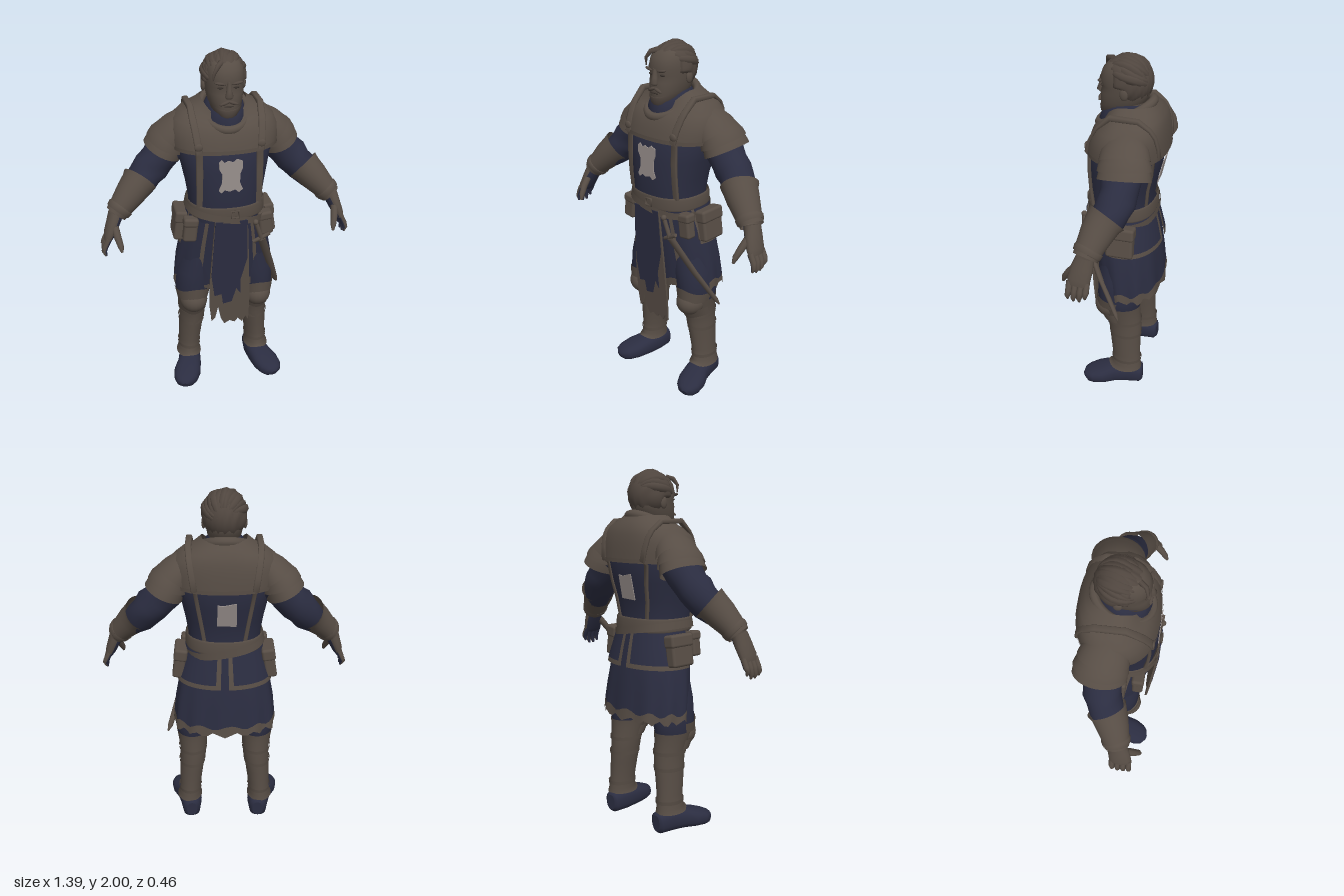
import * as THREE from 'three';
import { mergeVertices } from 'three/addons/utils/BufferGeometryUtils.js';
import { RoundedBoxGeometry } from 'three/addons/geometries/RoundedBoxGeometry.js';

const V = (x, y, z) => new THREE.Vector3(x, y, z);
const material = (name, color) => Object.assign(new THREE.MeshStandardMaterial({ color, side: THREE.DoubleSide }), { name });

// Horizontal ring from its height, half width, back z and front z
const R = (y, rx, back, front, x = 0) => [x, y, (back + front) / 2, rx, (front - back) / 2];
const SQ = 0.85; // squareness of the body rings

// Skin over rings [x, y, z, radius u, radius v]; pick chooses a material per face
function loft(rings, { n = 24, p = 1, flat = false, ref = V(0, 0, 1), arc = null, mod = null, pick = null, caps = true } = {}) {
  const pos = [], faces = [[], []], c = rings.map(r => V(r[0], r[1], r[2]));
  const cols = arc ? n + 1 : n, [a0, a1] = arc || [0, Math.PI * 2];
  const pw = k => Math.sign(k) * Math.abs(k) ** p;
  rings.forEach((r, i) => {
    const t = flat ? V(0, 1, 0) : c[Math.min(i + 1, c.length - 1)].clone().sub(c[Math.max(i - 1, 0)]).normalize();
    const v = ref.clone().addScaledVector(t, -ref.dot(t)).normalize(), u = t.clone().cross(v);
    for (let j = 0; j < cols; j++) {
      const th = a0 + (a1 - a0) * j / n, [k, dy] = mod ? mod(i, th) : [1, 0];
      const q = c[i].clone().addScaledVector(u, r[3] * k * pw(Math.cos(th))).addScaledVector(v, r[4] * k * pw(Math.sin(th)));
      pos.push(q.x, q.y + dy, q.z);
    }
  });
  for (let i = 0; i < rings.length - 1; i++) for (let j = 0; j < n; j++) {
    const a = i * cols + j, d = i * cols + (j + 1) % cols;
    const m = pick && pick(i, j, a0 + (a1 - a0) * (j + 0.5) / n) ? 1 : 0;
    faces[m].push(a, a + cols, d, d, a + cols, d + cols);
  }
  if (caps && !arc) for (const end of [0, rings.length - 1]) {
    const start = pos.length / 3;
    pos.push(...c[end].toArray(), ...pos.slice(end * cols * 3, (end + 1) * cols * 3));
    for (let j = 0; j < n; j++) {
      const a = start + 1 + j, b = start + 1 + (j + 1) % n;
      faces[0].push(start, ...(end ? [b, a] : [a, b]));
    }
  }
  const g = new THREE.BufferGeometry();
  g.setAttribute('position', new THREE.Float32BufferAttribute(pos, 3));
  g.setIndex([...faces[0], ...faces[1]]);
  if (pick) {
    g.addGroup(0, faces[0].length, 0);
    g.addGroup(faces[0].length, faces[1].length, 1);
  }
  g.computeVertexNormals();
  return g;
}

const TORSO = [R(1.1, 0.2, -0.15, 0.19), R(1.2, 0.2, -0.145, 0.2), R(1.3, 0.215, -0.16, 0.203), R(1.4, 0.235, -0.185, 0.2),
  R(1.5, 0.255, -0.2, 0.19), R(1.6, 0.24, -0.19, 0.15)];
const MANTLE = [R(1.515, 0.29, -0.225, 0.2), R(1.56, 0.295, -0.222, 0.19), R(1.61, 0.29, -0.217, 0.172), R(1.655, 0.268, -0.208, 0.15),
  R(1.695, 0.222, -0.195, 0.13), R(1.725, 0.16, -0.17, 0.115), R(1.755, 0.12, -0.145, 0.11)];

// Depth of the clothed body at x, y on the front (s = 1) or the back (s = -1)
function surf(x, y, s) {
  const rings = y >= 1.515 ? MANTLE : TORSO;
  let i = 0;
  while (i < rings.length - 2 && rings[i + 1][1] < y) i++;
  const k = (y - rings[i][1]) / (rings[i + 1][1] - rings[i][1]);
  const [, , z, rx, rz] = rings[i].map((v, q) => v + (rings[i + 1][q] - v) * k);
  return z + s * rz * Math.max(0, 1 - Math.abs(x / rx) ** (2 / SQ)) ** (SQ / 2);
}

export function createModel() {
  const model = new THREE.Group();
  const brown = material('brown leather', 0x574d45), navy = material('navy cloth', 0x2b2d41);
  const dark = material('dark leather', 0x3a332e), skin = material('skin', 0x564c44);
  const hairMat = material('hair', 0x50463f), grey = material('pale patch', 0x988f8c);
  const add = (name, geo, mat) => {
    const m = new THREE.Mesh(geo, mat);
    m.name = name;
    model.add(m);
    return m;
  };
  const ball = (name, mat, [x, y, z], [a, b, c]) => {
    const m = add(name, new THREE.SphereGeometry(1, 20, 14), mat);
    m.position.set(x, y, z);
    m.scale.set(a, b, c);
    return m;
  };
  const block = (name, size, [x, y, z], tilt) => {
    const g = new RoundedBoxGeometry(...size, 3, 0.015);
    g.clearGroups();
    const m = add(name, g, brown);
    m.position.set(x, y, z);
    m.rotation.z = tilt;
  };
  const plate = (name, pts, mat, depth = 0.005) => add(name,
    new THREE.ExtrudeGeometry(new THREE.Shape(pts.map(q => new THREE.Vector2(...q))), { depth, bevelEnabled: false }), [mat, mat]);

  // Tunic, shoulder mantle dipping at the throat, scarf and collar
  add('tunic', loft(TORSO, { n: 40, p: SQ, flat: true }), navy);
  add('mantle', loft(MANTLE, { n: 40, p: SQ, flat: true, caps: false,
    mod: (i, th) => [1, -[0, 0, 0, 0.015, 0.04, 0.065, 0.085][i] * Math.max(0, Math.sin(th)) ** 2] }), brown);
  add('mantleHem', loft([R(1.507, 0.29, -0.228, 0.204), R(1.528, 0.292, -0.228, 0.203)], { n: 40, p: SQ, flat: true, caps: false }), brown);
  add('scarf', loft([R(1.58, 0.12, -0.12, 0.15), R(1.65, 0.118, -0.12, 0.15), R(1.7, 0.11, -0.12, 0.135), R(1.735, 0.098, -0.11, 0.11), R(1.755, 0.08, -0.1, 0.08)],
    { flat: true, mod: (i, th) => [1 + 0.025 * Math.sin(5 * th + i * 2), 0] }), navy);
  const collar = add('collar', new THREE.TorusGeometry(0.122, 0.018, 10, 36), brown);
  collar.rotation.x = Math.PI / 2 + 0.45;
  collar.position.set(0, 1.69, 0.01);
  collar.scale.set(1, 1.3, 1.4);

  // Chest patch and back patch
  plate('chestPatch', [[-0.065, 1.47], [-0.05, 1.482], [-0.035, 1.465], [-0.015, 1.475], [0.01, 1.465], [0.03, 1.482], [0.06, 1.47], [0.06, 1.43],
    [0.048, 1.4], [0.046, 1.35], [0.062, 1.31], [0.04, 1.293], [0.02, 1.31], [-0.01, 1.3], [-0.035, 1.31], [-0.055, 1.293],
    [-0.067, 1.31], [-0.05, 1.35], [-0.048, 1.4], [-0.064, 1.43]], grey).position.z = 0.2;
  const back = plate('backPatch', [[-0.052, -0.072], [0.052, -0.068], [0.048, 0.065], [0.02, 0.06], [-0.052, 0.075]], grey);
  back.position.set(-0.01, 1.375, -0.189);
  back.rotation.x = -0.22;

  // Skirt with a ragged brown hem, and short jacket tails
  add('skirt', loft([R(0.645, 0.288, -0.217, 0.13), R(0.69, 0.286, -0.212, 0.137), R(0.8, 0.277, -0.203, 0.152), R(0.95, 0.25, -0.187, 0.172),
    R(1.14, 0.203, -0.153, 0.19)], { n: 60, p: 0.9, flat: true, caps: false,
    mod: (i, th) => [1 + 0.008 * (4 - i) * Math.sin(11 * th), i < 2 ? 0.014 * Math.sin((17 - 6 * i) * th + i) : 0],
    pick: (i, j) => i === 0 || j === 9 || j === 20 }), [navy, brown]);
  for (const arc of [[0.9, 1.48], [1.52, 2.1]]) add('jacketTail',
    loft([R(0.935, 0.268, -0.207, 0.18), R(0.96, 0.264, -0.203, 0.182), R(1.05, 0.238, -0.184, 0.19), R(1.14, 0.212, -0.162, 0.2)],
      { n: 20, p: 0.9, flat: true, arc: arc.map(k => k * Math.PI), pick: (i, j) => i === 0 || j === 0 || j === 19 }), [navy, brown]);

  // Hanging front panel with torn end
  const panels = [
    plate('panelBorder', [[-0.09, 1.13], [0.09, 1.13], [0.105, 0.85], [0.115, 0.6], [0.112, 0.44], [0.095, 0.47], [0.075, 0.43], [0.05, 0.46],
      [0.03, 0.435], [0, 0.45], [-0.03, 0.43], [-0.05, 0.47], [-0.068, 0.56], [-0.085, 0.48], [-0.105, 0.46], [-0.115, 0.55], [-0.118, 0.72]], brown, 0.012),
    plate('panelCloth', [[-0.088, 1.13], [0.088, 1.13], [0.094, 0.88], [0.058, 0.74], [0.062, 0.64], [0.035, 0.68], [0.01, 0.59], [-0.04, 0.58],
      [-0.05, 0.65], [-0.09, 0.64], [-0.108, 0.78]], navy)];
  panels.forEach((m, i) => {
    m.position.z = 0.13 + i * 0.01;
    m.rotation.x = 0.064;
  });

  // Belts and buckle
  add('belt', loft([R(1.13, 0.212, -0.165, 0.207), R(1.14, 0.217, -0.168, 0.211), R(1.195, 0.215, -0.164, 0.213), R(1.205, 0.208, -0.158, 0.208)],
    { n: 40, p: SQ, flat: true, caps: false }), brown);
  const sling = add('swordBelt', loft([R(-0.02, 0.224, -0.175, 0.219), R(0.02, 0.222, -0.173, 0.219)], { n: 40, p: SQ, flat: true, caps: false }), brown);
  sling.position.y = 1.135;
  sling.rotation.z = -0.16;
  const buckle = add('buckle', new THREE.TorusGeometry(0.028, 0.007, 8, 4), brown);
  buckle.position.set(0.02, 1.168, 0.217);
  buckle.rotation.z = Math.PI / 4;

  // Sword at the left hip
  add('scabbard', loft([[0.17, 1.0, 0.205, 0.022, 0.016], [0.25, 0.78, 0.1, 0.021, 0.014], [0.32, 0.585, -0.01, 0.015, 0.012], [0.333, 0.555, -0.025, 0.004, 0.004]], { n: 12 }), brown);
  add('swordGuard', loft([[0.125, 0.98, 0.2, 0.01, 0.01], [0.17, 1.005, 0.207, 0.012, 0.012], [0.215, 1.03, 0.21, 0.01, 0.01]], { n: 10 }), brown);
  add('swordGrip', loft([[0.17, 1.0, 0.207, 0.012, 0.012], [0.135, 1.1, 0.215, 0.012, 0.012]], { n: 10 }), brown);
  ball('pommel', brown, [0.133, 1.108, 0.215], [0.016, 0.016, 0.016]);

  // Head: neck, skull, face
  add('neck', loft([R(1.62, 0.08, -0.1, 0.07), R(1.78, 0.078, -0.1, 0.06)], { flat: true }), skin);
  add('head', loft([R(1.675, 0.032, 0.055, 0.122), R(1.69, 0.052, 0, 0.138), R(1.72, 0.076, -0.06, 0.143), R(1.76, 0.09, -0.1, 0.142), R(1.8, 0.098, -0.115, 0.14),
    R(1.835, 0.1, -0.12, 0.13), R(1.87, 0.102, -0.12, 0.144), R(1.92, 0.098, -0.11, 0.127), R(1.95, 0.08, -0.08, 0.1), R(1.975, 0.04, -0.04, 0.05)],
    { n: 32, p: 0.9, flat: true }), skin);
  add('nose', loft([[0, 1.785, 0.14, 0.016, 0.012], [0, 1.797, 0.146, 0.022, 0.02], [0, 1.825, 0.138, 0.014, 0.018], [0, 1.87, 0.138, 0.01, 0.01]], { n: 12, flat: true }), skin);
  add('beard', loft([R(1.668, 0.034, 0.05, 0.128), R(1.69, 0.058, 0, 0.145), R(1.72, 0.08, -0.05, 0.147), R(1.742, 0.086, -0.06, 0.143)],
    { n: 32, p: 0.9, flat: true, caps: false, mod: (i, th) => [1 + 0.012 * Math.sin(16 * th), i === 3 ? -0.02 * Math.max(0, Math.sin(th)) ** 4 : 0] }), hairMat);
  ball('mouth', dark, [0, 1.744, 0.141], [0.026, 0.004, 0.005]);
  for (const s of [1, -1]) {
    ball('eye', dark, [s * 0.04, 1.838, 0.124], [0.017, 0.006, 0.008]);
    ball('brow', hairMat, [s * 0.043, 1.862, 0.133], [0.03, 0.008, 0.012]).rotation.z = s * 0.18;
    ball('moustache', hairMat, [s * 0.022, 1.762, 0.141], [0.028, 0.009, 0.01]).rotation.z = -s * 0.35;
    ball('ear', skin, [s * 0.107, 1.82, -0.005], [0.012, 0.032, 0.022]);
  }

  // Hair: a cap drawn in around the face, with thick tufts swept back over it
  const step = THREE.MathUtils.smoothstep, hair = new THREE.SphereGeometry(1, 56, 36), hp = hair.attributes.position;
  for (let i = 0; i < hp.count; i++) {
    const x = hp.getX(i), y = hp.getY(i), z = hp.getZ(i);
    const face = step(z, 0.35, 0.6) * (1 - step(y, 0.35, 0.6)), side = step(z, -0.15, 0.2) * (1 - step(y, -0.3, -0.05));
    const k = 0.98 - 0.3 * Math.max(face, side) + 0.02 * Math.sin(20 * x + 9 * z + 6 * y);
    hp.setXYZ(i, x * k * 0.12, 1.862 + y * k * 0.13, z * k * 0.134);
  }
  hair.deleteAttribute('uv');
  hair.deleteAttribute('normal');
  const hairGeo = mergeVertices(hair, 1e-5);
  hairGeo.computeVertexNormals();
  add('hair', hairGeo, hairMat);
  for (let k = -5; k <= 5; k++) {
    const strand = [], wave = k * 2.4;
    for (let i = 0; i <= 9; i++) {
      const f = 0.8 + i * 0.25, a = k * 0.24 + (i - 4) * 0.09 + 0.05 * Math.sin(i * 0.9 + wave);
      const r = 0.028 * Math.sin(0.35 + i * 0.29), d = 1 + 0.025 * Math.sin(wave + i * 0.5);
      strand.push([0.1 * d * Math.sin(a) * Math.sin(f), 1.862 + 0.109 * d * Math.cos(a) * Math.sin(f), 0.115 * d * Math.cos(f), r, r]);
    }
    add('hairTuft', loft(strand, { n: 8, ref: V(1, 0.1, 0) }), hairMat);
  }
  add('forelock', loft([[-0.03, 1.955, 0.085, 0.016, 0.014], [-0.05, 1.948, 0.118, 0.014, 0.012],
    [-0.072, 1.915, 0.13, 0.009, 0.008], [-0.078, 1.875, 0.122, 0.003, 0.003]], { n: 8 }), hairMat);

  for (const s of [1, -1]) {
    const m = rings => rings.map(([x, ...q]) => [x * s, ...q]);

    // Shoulder strap from belt over the shoulder and down the back
    const strap = [];
    for (const y of [1.2, 1.3, 1.4, 1.5, 1.52, 1.58, 1.64, 1.67]) {
      const x = 0.16 + Math.max(0, y - 1.5) * 0.12;
      strap.push([x, y, surf(x, y, 1) + 0.004, 0.009, 0.019]);
    }
    strap.push([0.185, 1.725, 0.045, 0.014, 0.017], [0.188, 1.722, -0.1, 0.012, 0.017]);
    for (const y of [1.68, 1.64, 1.58, 1.52, 1.5, 1.4, 1.3, 1.2]) {
      const x = 0.11 + (y - 1.2) * 0.15;
      strap.push([x, y, surf(x, y, -1) - 0.003, 0.008, y > 1.51 ? 0.017 : 0.011]);
    }
    add('shoulderStrap', loft(m(strap), { n: 12, p: 0.5, ref: V(1, 0, 0) }), brown);
    ball('strapBuckle', brown, [s * 0.165, 1.55, surf(0.165, 1.55, 1) + 0.012], [0.022, 0.02, 0.008]);

    // Layered shoulder guard sloping down from the mantle
    const guard = { n: 28, caps: false };
    add('shoulderCap', loft(m([[0.165, 1.655, -0.035, 0.03, 0.06], [0.2, 1.625, -0.038, 0.067, 0.1], [0.238, 1.582, -0.045, 0.09, 0.122], [0.268, 1.54, -0.052, 0.104, 0.133]]), guard), brown);
    add('shoulderLame', loft(m([[0.272, 1.555, -0.055, 0.09, 0.122], [0.288, 1.53, -0.057, 0.105, 0.134], [0.3, 1.502, -0.06, 0.111, 0.141]]), guard), brown);
    add('shoulderLame', loft(m([[0.292, 1.52, -0.06, 0.093, 0.122], [0.306, 1.495, -0.062, 0.103, 0.133], [0.322, 1.462, -0.064, 0.108, 0.14]]), guard), brown);

    // Sleeve with folds, bracer and glove
    add('sleeve', loft(m([[0.26, 1.52, -0.05, 0.1, 0.11], [0.32, 1.455, -0.05, 0.098, 0.102], [0.355, 1.41, -0.047, 0.092, 0.096], [0.39, 1.375, -0.042, 0.098, 0.098],
      [0.42, 1.34, -0.03, 0.088, 0.092], [0.45, 1.305, -0.015, 0.087, 0.09], [0.5, 1.25, 0.015, 0.07, 0.07]]),
      { mod: (i, th) => [1 + 0.03 * Math.sin(3 * th + i * 2), 0] }), navy);
    add('bracer', loft(m([[0.455, 1.318, -0.012, 0.096, 0.105], [0.475, 1.297, 0.003, 0.088, 0.095], [0.51, 1.26, 0.022, 0.082, 0.088], [0.56, 1.205, 0.045, 0.068, 0.075], [0.6, 1.16, 0.06, 0.058, 0.066]]), { caps: false }), brown);
    add('bracerBand', loft(m([[0.57, 1.194, 0.049, 0.067, 0.074], [0.572, 1.192, 0.05, 0.071, 0.078], [0.588, 1.173, 0.056, 0.067, 0.074], [0.59, 1.171, 0.057, 0.062, 0.069]]), { caps: false }), brown);
    const palm = { n: 16, pick: (i, j, th) => Math.cos(th) * s > 0.3 };
    add('hand', loft(m([[0.6, 1.165, 0.06, 0.042, 0.048], [0.622, 1.11, 0.072, 0.036, 0.058], [0.645, 1.055, 0.083, 0.03, 0.06], [0.656, 1.025, 0.085, 0.02, 0.054]]), palm), [brown, navy]);
    for (let f = 0; f < 4; f++) {
      const z = 0.04 + f * 0.03, d = f === 0 ? 0.02 : f === 3 ? 0.01 : 0;
      add('finger', loft(m([[0.65, 1.045, z, 0.016, 0.016], [0.673, 1.0, z, 0.016, 0.016], [0.68, 0.965 + d, z + 0.004, 0.014, 0.014], [0.672, 0.94 + d, z + 0.006, 0.006, 0.006]]), { ...palm, n: 10 }), [brown, navy]);
    }
    add('thumb', loft(m([[0.615, 1.115, 0.1, 0.02, 0.022], [0.605, 1.065, 0.145, 0.02, 0.02], [0.593, 1.02, 0.175, 0.016, 0.016], [0.588, 0.99, 0.187, 0.007, 0.007]]), { n: 10 }), brown);

    // Belt pouches with flaps
    block('pouch', [0.065, 0.17, 0.15], [s * 0.25, 1.035, -0.02], s * 0.15);
    block('pouchFlap', [0.075, 0.07, 0.16], [s * 0.243, 1.09, -0.02], s * 0.15);
    block('frontPouch', [0.075, 0.13, 0.06], [s * 0.21, 1.05, 0.12], s * 0.12);
    block('frontPouchFlap', [0.082, 0.05, 0.068], [s * 0.206, 1.1, 0.12], s * 0.12);

    // Leg: trousers, greave, bands, knee guard
    add('trouserLeg', loft(m([[0.188, 0.48, -0.01, 0.075, 0.09], [0.188, 0.57, -0.005, 0.09, 0.112], [0.185, 0.63, 0, 0.104, 0.127], [0.165, 0.75, 0, 0.115, 0.13], [0.12, 0.95, 0, 0.11, 0.13]]),
      { flat: true, mod: (i, th) => [1 + 0.02 * Math.sin(4 * th + i * 2), 0] }), navy);
    add('greave', loft(m([[0.212, 0.115, -0.04, 0.074, 0.097], [0.21, 0.145, -0.048, 0.064, 0.084], [0.205, 0.22, -0.045, 0.063, 0.081], [0.198, 0.31, -0.04, 0.069, 0.086], [0.188, 0.4, -0.035, 0.075, 0.093],
      [0.186, 0.47, -0.028, 0.079, 0.096], [0.188, 0.53, -0.012, 0.086, 0.108], [0.188, 0.575, -0.006, 0.094, 0.117]]),
      { flat: true, caps: false, mod: (i, th) => [1 + 0.05 * Math.max(0, Math.sin(th)) ** 8, i === 0 ? 0.02 * Math.max(0, Math.sin(th)) ** 6 : 0] }), brown);
    for (const [y, x, z, a, b] of [[0.17, 0.208, -0.047, 0.067, 0.087], [0.36, 0.193, -0.037, 0.076, 0.094], [0.45, 0.187, -0.03, 0.082, 0.1]])
      add('greaveBand', loft(m([[x, y, z, a, b], [x, y + 0.022, z, a + 0.002, b + 0.002]]), { flat: true, caps: false }), brown);
    ball('kneeGuard', brown, [s * 0.19, 0.555, 0.055], [0.08, 0.08, 0.09]);
    const lame = { n: 20, flat: true, arc: [-0.1, Math.PI + 0.1] };
    add('kneeLame', loft(m([[0.19, 0.475, 0.0, 0.082, 0.085], [0.19, 0.53, 0.02, 0.086, 0.105]]), { ...lame, mod: (i, th) => [1, (i ? 0.01 : -0.02) * Math.max(0, Math.sin(th)) ** 4] }), brown);
    add('kneeLame', loft(m([[0.19, 0.575, 0.02, 0.092, 0.112], [0.187, 0.63, 0.005, 0.106, 0.13]]), { ...lame, mod: (i, th) => [1, i * 0.03 * Math.max(0, Math.sin(th)) ** 4] }), brown);

    // Shoe with toes turned out
    add('shoe', loft(m([[0.2, 0.06, -0.143, 0.03, 0.045], [0.201, 0.06, -0.132, 0.05, 0.059], [0.205, 0.066, -0.05, 0.064, 0.066], [0.22, 0.062, 0.03, 0.07, 0.062], [0.245, 0.052, 0.1, 0.08, 0.052],
      [0.264, 0.043, 0.155, 0.07, 0.043], [0.273, 0.036, 0.185, 0.05, 0.036], [0.276, 0.03, 0.2, 0.018, 0.018]]), { p: 0.8, ref: V(0, 1, 0) }), navy);
  }
  return model;
}
